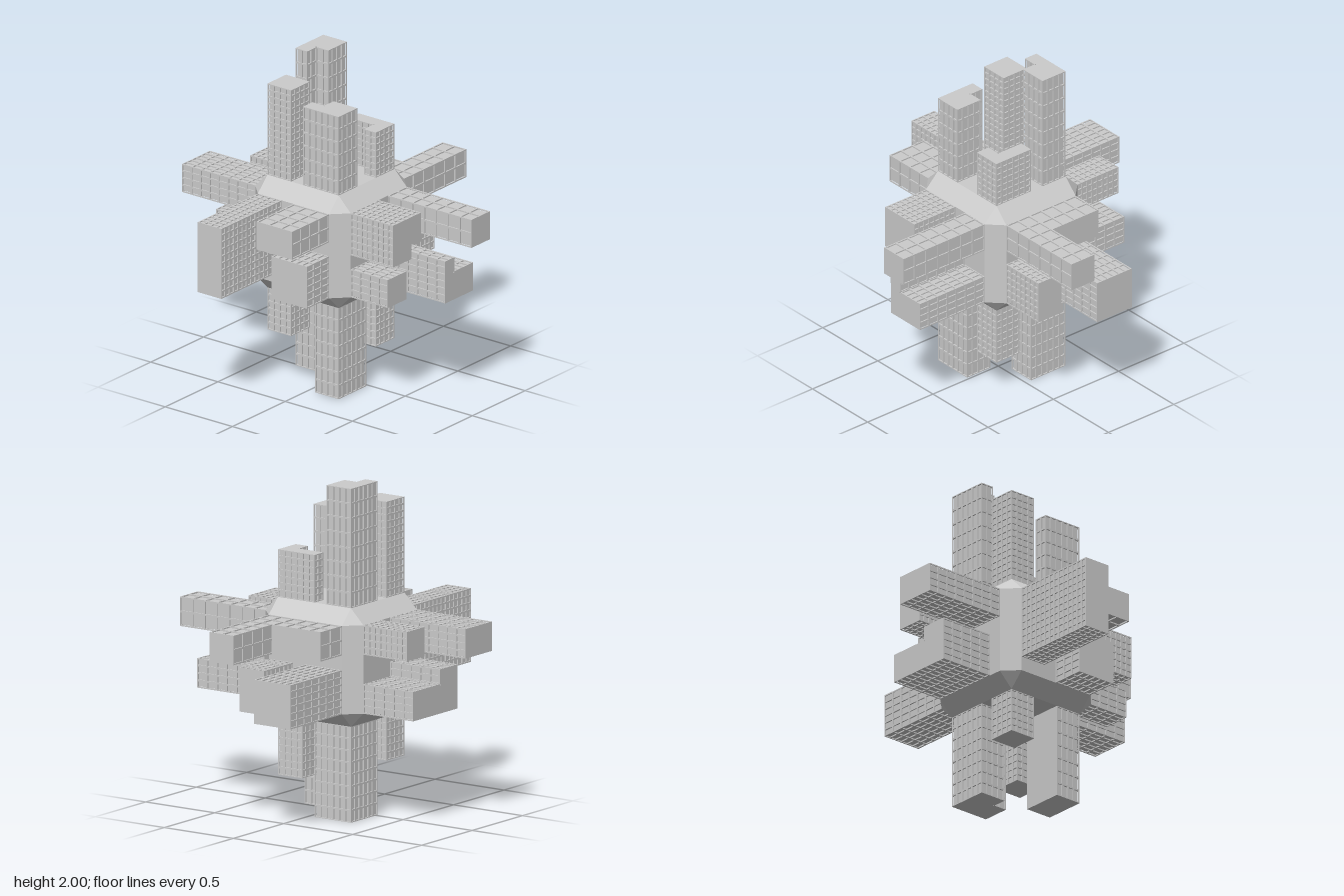
import * as THREE from 'three';
import { mergeGeometries } from 'three/addons/utils/BufferGeometryUtils.js';
import { ConvexGeometry } from 'three/addons/geometries/ConvexGeometry.js';

const CELL = 0.0883;   // footprint module, six per core face
const HALF = 0.355;    // half size of the core
const INNER = 0.265;   // half size of its flat faces
const DEPTH = 0.008;   // window recess
const BAR = 0.011;     // window frame width
const material = new THREE.MeshStandardMaterial({ color: 0xcccccc, flatShading: true });

// Window patterns: columns per cell and row pitch
const fine = { perCell: 2, row: 0.042 };
const medium = { perCell: 2, row: 0.07 };
const tall = { perCell: 2, row: 0.085 };
const large = { perCell: 1, row: 0.093 };

// Footprint of su x sv cells in one corner of a core face ('-+' = low u, high v).
// A notch is cut from its inner side; negative sizes cut from the outer side.
function footprint(corner, su, sv, notch) {
  const outline = [[0, 0], [su, 0], [su, sv], [0, sv]].flatMap(([u, v], i) => {
    if (!notch || (u > 0) !== (notch[0] > 0) || (v > 0) !== (notch[1] > 0)) return [[u, v]];
    const [nu, nv] = notch;
    const cut = [[u - nu, v], [u - nu, v - nv], [u, v - nv]];
    return i % 2 ? cut : cut.reverse();
  });
  const place = (a, sign) => (sign === '-' ? a - 3 : 3 - a) * CELL;
  const points = outline.map(([u, v]) => new THREE.Vector2(place(u, corner[0]), place(v, corner[1])));
  return THREE.ShapeUtils.isClockWise(points) ? points.reverse() : points;
}

// A tower rises along local z from the core face to the given end.
function towerGeometry(points, end, { perCell, row }, plainWall) {
  const n = points.length;
  const height = end - HALF;
  const dirs = points.map((p, i) => points[(i + 1) % n].clone().sub(p).normalize());
  const inward = dirs.map(d => new THREE.Vector2(-d.y, d.x));

  // recessed body behind the window frames
  const inset = points.map((p, i) => p.clone()
    .addScaledVector(inward[i], DEPTH)
    .addScaledVector(inward[(i + n - 1) % n], DEPTH));
  const body = new THREE.ExtrudeGeometry(new THREE.Shape(inset), { depth: height, bevelEnabled: false });
  const parts = [body.translate(0, 0, HALF)];

  points.forEach((p, i) => {
    const length = p.distanceTo(points[(i + 1) % n]);
    const addBar = (s0, s1, z0, z1) => {
      const bar = new THREE.BoxGeometry(s1 - s0, DEPTH, z1 - z0).toNonIndexed();
      bar.translate((s0 + s1) / 2, DEPTH / 2, (z0 + z1) / 2 + HALF);
      bar.rotateZ(dirs[i].angle()).translate(p.x, p.y, 0);
      parts.push(bar);
    };
    if (plainWall && dirs[i].x > 0.5) {
      addBar(0, length, 0, height);
      return;
    }
    // posts
    const columns = Math.round(length / CELL) * perCell;
    for (let k = 0; k <= columns; k++) {
      const s = length * k / columns;
      addBar(Math.max(0, s - BAR / 2), Math.min(length, s + BAR / 2), 0, height);
    }
    // floor bands
    const rows = Math.round(height / row);
    for (let k = 0; k <= rows; k++) {
      const z = height * k / rows;
      addBar(0, length, Math.max(0, z - BAR / 2), Math.min(height, z + BAR / 2));
    }
  });
  return mergeGeometries(parts);
}

// Cube with chamfered edges and corners
function coreGeometry() {
  const corners = [];
  for (const x of [-1, 1]) for (const y of [-1, 1]) for (const z of [-1, 1]) {
    corners.push(
      new THREE.Vector3(x * HALF, y * INNER, z * INNER),
      new THREE.Vector3(x * INNER, y * HALF, z * INNER),
      new THREE.Vector3(x * INNER, y * INNER, z * HALF));
  }
  return new ConvexGeometry(corners);
}

export function createModel() {
  const model = new THREE.Group();
  model.name = 'towerCluster';
  const cluster = new THREE.Group();
  cluster.name = 'cluster';
  cluster.position.set(-0.015, 0.93, -0.04);
  model.add(cluster);

  const core = new THREE.Mesh(coreGeometry(), material);
  core.name = 'core';
  cluster.add(core);

  // One group per core face: axes of the footprint and the outward normal
  const axis = { x: new THREE.Vector3(1, 0, 0), y: new THREE.Vector3(0, 1, 0), z: new THREE.Vector3(0, 0, 1) };
  const side = (name, u, v) => {
    const group = new THREE.Group();
    group.name = `${name}Towers`;
    const normal = axis[u].clone().cross(axis[v]);
    group.quaternion.setFromRotationMatrix(new THREE.Matrix4().makeBasis(axis[u], axis[v], normal));
    cluster.add(group);
    return (corner, su, sv, end, windows, { notch, plainWall } = {}) => {
      const points = footprint(corner, su, sv, notch);
      const mesh = new THREE.Mesh(towerGeometry(points, end, windows, plainWall), material);
      mesh.name = `${name}Tower${group.children.length + 1}`;
      group.add(mesh);
    };
  };

  const top = side('top', 'z', 'x');
  top('--', 2, 2, 0.93, fine);
  top('-+', 2, 3, 1.07, tall, { notch: [1, 1] });
  top('+-', 3, 2, 0.85, tall, { notch: [1, 1] });
  top('++', 3, 2, 0.64, fine, { notch: [2, 1] });

  const bottom = side('bottom', 'x', 'z');
  bottom('-+', 3, 2, 0.93, tall, { plainWall: true });
  bottom('++', 2, 2, 0.71, fine);
  bottom('+-', 3, 3, 0.93, medium, { notch: [1, 1] });
  bottom('--', 2, 2, 0.62, fine);

  const front = side('front', 'x', 'y');
  front('-+', 3, 3, 0.67, fine, { notch: [1, 1] });
  front('++', 2, 2, 0.975, large);
  front('--', 2, 2, 0.63, medium);
  front('+-', 3, 3, 0.85, medium, { notch: [-2, 1] });

  const back = side('back', 'y', 'x');
  back('++', 2, 2, 0.67, fine);
  back('+-', 2, 3, 0.90, medium);
  back('-+', 3, 5, 0.715, medium, { notch: [1, -3] });

  const left = side('left', 'y', 'z');
  left('++', 2, 2, 0.945, large);
  left('+-', 2, 4, 0.565, large);
  left('-+', 3, 2, 0.645, fine);
  left('--', 3, 3, 0.865, medium);

  const right = side('right', 'z', 'y');
  right('++', 3, 2, 0.705, large);
  right('-+', 2, 5, 0.925, fine);
  right('+-', 3, 3, 0.565, medium);

  return model;
}
